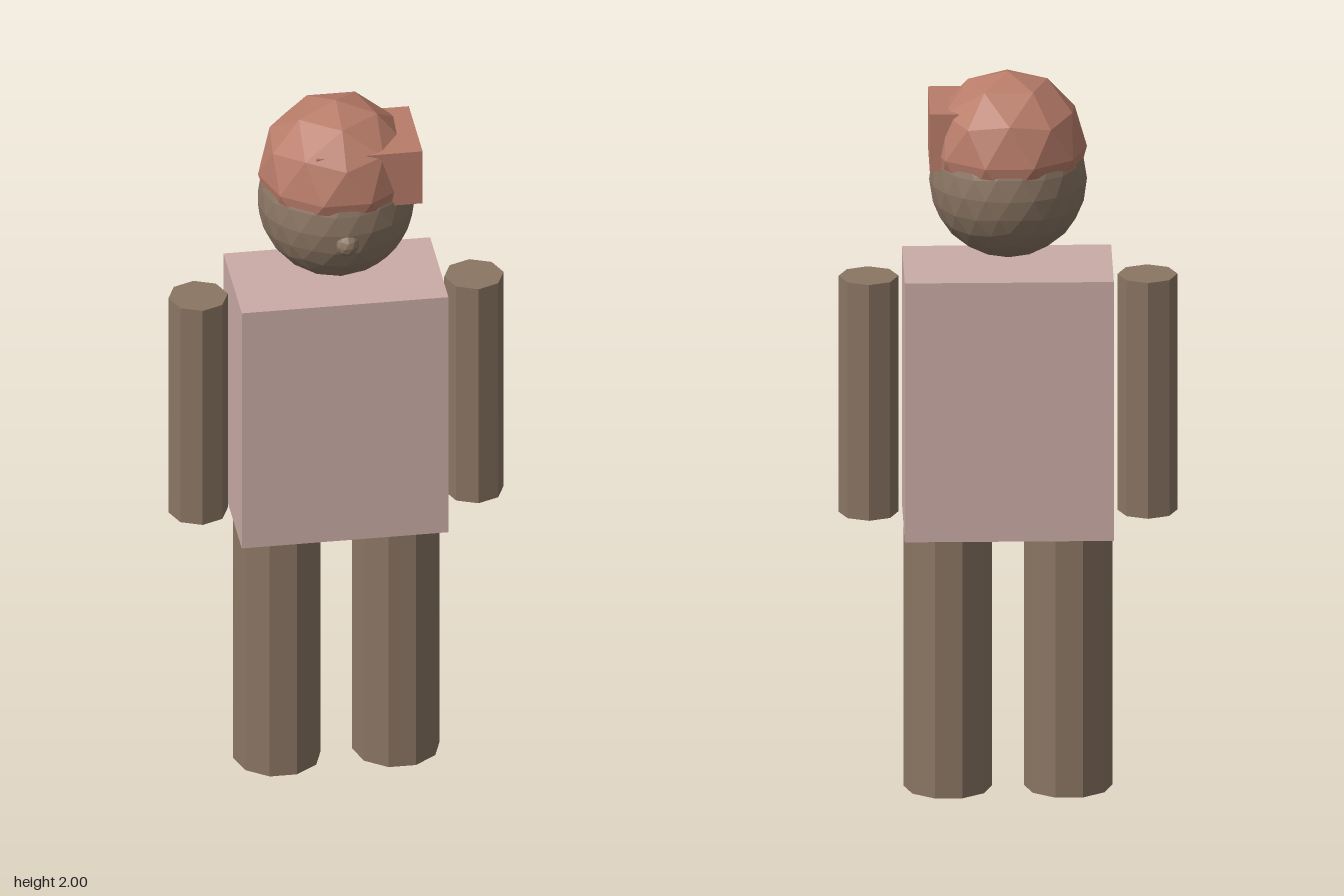
import * as THREE from 'three';

const material = (name, color) => {
  const m = new THREE.MeshStandardMaterial({ color, flatShading: true });
  m.name = name;
  return m;
};

export function createModel() {
  const model = new THREE.Group();
  model.name = 'blockFigure';
  const skin = material('brownSkin', 0x8a7563);
  const shirt = material('palePinkShirt', 0xcaaba6);
  const hair = material('terracottaHair', 0xb87c69);

  const add = (name, geometry, mat, x, y, z) => {
    const mesh = new THREE.Mesh(geometry, mat);
    mesh.name = name;
    mesh.position.set(x, y, z);
    model.add(mesh);
    return mesh;
  };

  // Faceted ball with one corner pointing straight up
  const ball = (radius, detail) =>
    new THREE.IcosahedronGeometry(radius, detail)
      .rotateX(-Math.atan((1 + Math.sqrt(5)) / 2));

  // Head, nose and cap of hair
  add('head', ball(0.21, 3), skin, 0, 1.7, -0.01);
  add('nose', ball(0.033, 1), skin, 0, 1.67, 0.185);
  add('hair', ball(0.21, 1), hair, 0, 1.79, -0.01);

  // Block of hair sticking out on the left side
  add('hairBlock', new THREE.BoxGeometry(0.285, 0.16, 0.24), hair, 0.0675, 1.83, 0.02);

  // Torso
  add('torso', new THREE.BoxGeometry(0.556, 0.725, 0.318), shirt, 0, 1.0975, -0.009);

  // Arms and legs, mirrored
  const armShape = new THREE.CylinderGeometry(0.08, 0.08, 0.66, 8);
  const legShape = new THREE.CylinderGeometry(0.118, 0.118, 0.735, 10).rotateY(Math.PI / 2);
  for (const [side, s] of [['left', 1], ['right', -1]]) {
    add(side + 'Arm', armShape, skin, s * 0.371, 1.1, -0.009);
    add(side + 'Leg', legShape, skin, s * 0.16, 0.3675, -0.004);
  }

  return model;
}
